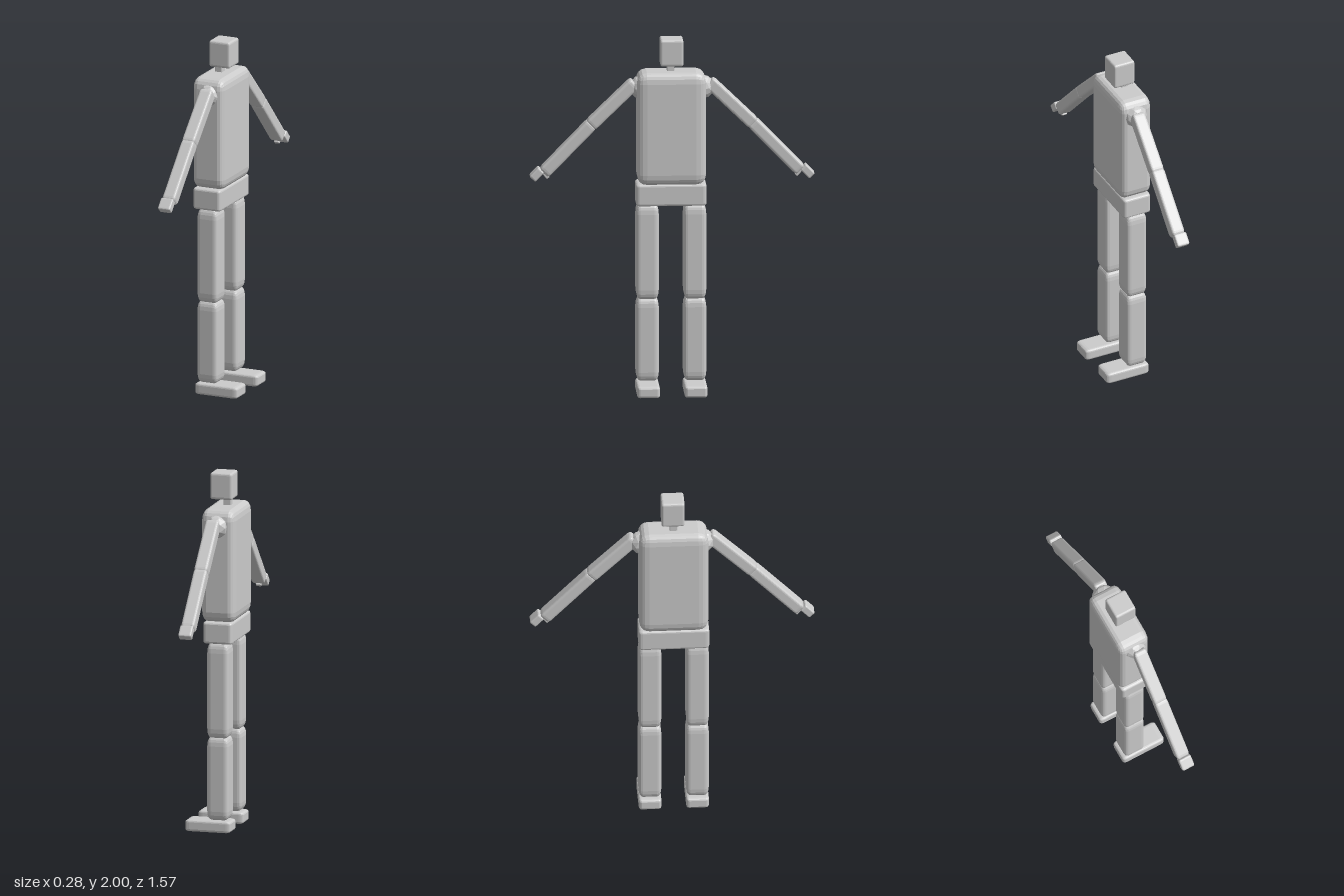
import * as THREE from 'three';
import { RoundedBoxGeometry } from 'three/addons/geometries/RoundedBoxGeometry.js';

const material = new THREE.MeshStandardMaterial({ color: 0xcccccc, flatShading: true });

// Bevelled box with its own bevel depth along each axis
function bevelBox(name, size, bevel) {
  const geo = new RoundedBoxGeometry(1, 1, 1, 2, 0.25);
  const pos = geo.attributes.position;
  for (let i = 0; i < pos.count; i++) {
    for (let a = 0; a < 3; a++) {
      const v = pos.getComponent(i, a);
      const t = (Math.abs(v) - 0.25) / 0.25;
      pos.setComponent(i, a, Math.sign(v) * (size[a] / 2 - bevel[a] + t * bevel[a]));
    }
  }
  geo.computeVertexNormals();
  const mesh = new THREE.Mesh(geo, material);
  mesh.name = name;
  return mesh;
}

// Bevelled box given by its lower and upper corners
function block(name, min, max, bevel) {
  const mesh = bevelBox(name, max.map((v, i) => v - min[i]), bevel);
  mesh.position.set(...max.map((v, i) => (v + min[i]) / 2));
  return mesh;
}

// Bevelled box whose long axis runs between two points
function segment(name, from, to, width, depth, bevel) {
  const a = new THREE.Vector3(...from), b = new THREE.Vector3(...to);
  const mesh = bevelBox(name, [width, a.distanceTo(b), depth], bevel);
  mesh.position.copy(a).lerp(b, 0.5);
  mesh.quaternion.setFromUnitVectors(new THREE.Vector3(0, 1, 0), b.clone().sub(a).normalize());
  return mesh;
}

function makeLeg(name, s) {
  const leg = new THREE.Group();
  leg.name = name;
  const z = 0.009 + s * 0.131, h = 0.063;
  leg.add(
    block('thigh', [-0.11, 0.53, z - h], [0.014, 1.066, z + h], [0.024, 0.055, 0.024]),
    block('shin', [-0.11, 0.07, z - h], [0.014, 0.537, z + h], [0.024, 0.05, 0.024]),
    block('foot', [-0.122, 0, z - h], [0.138, 0.066, z + h], [0.026, 0.014, 0.016])
  );
  return leg;
}

function makeArm(name, s) {
  const arm = new THREE.Group();
  arm.name = name;
  const x = -0.034;
  const p = (y, z) => [x, y, 0.003 + s * z];
  // Faceted shoulder ball
  const ball = new THREE.Mesh(new THREE.IcosahedronGeometry(0.067, 1), material);
  ball.name = 'shoulder';
  ball.position.set(-0.042, 1.722, 0.003 + s * 0.168);
  arm.add(
    ball,
    segment('upperArm', p(1.752, 0.205), p(1.512, 0.452), 0.076, 0.07, [0.013, 0.024, 0.014]),
    segment('forearm', p(1.524, 0.441), p(1.248, 0.708), 0.076, 0.068, [0.013, 0.024, 0.014]),
    segment('hand', p(1.268, 0.722), p(1.216, 0.772), 0.074, 0.044, [0.01, 0.01, 0.007]),
    segment('thumb', p(1.25, 0.71), p(1.218, 0.683), 0.03, 0.02, [0.004, 0.005, 0.004])
  );
  return arm;
}

export function createModel() {
  const model = new THREE.Group();
  model.name = 'figure';
  model.add(
    block('head', [-0.096, 1.85, -0.058], [0.03, 2, 0.07], [0.012, 0.014, 0.012]),
    block('neck', [-0.077, 1.8, -0.012], [-0.034, 1.86, 0.031], [0.004, 0.005, 0.004]),
    block('torso', [-0.144, 1.18, -0.183], [0.05, 1.814, 0.199], [0.036, 0.06, 0.055]),
    block('pelvis', [-0.132, 1.062, -0.185], [0.035, 1.186, 0.204], [0.017, 0.014, 0.022])
  );
  // The figure looks along +x, so its right side is at +z
  for (const [side, s] of [['right', 1], ['left', -1]]) {
    model.add(makeArm(side + 'Arm', s), makeLeg(side + 'Leg', s));
  }
  return model;
}
